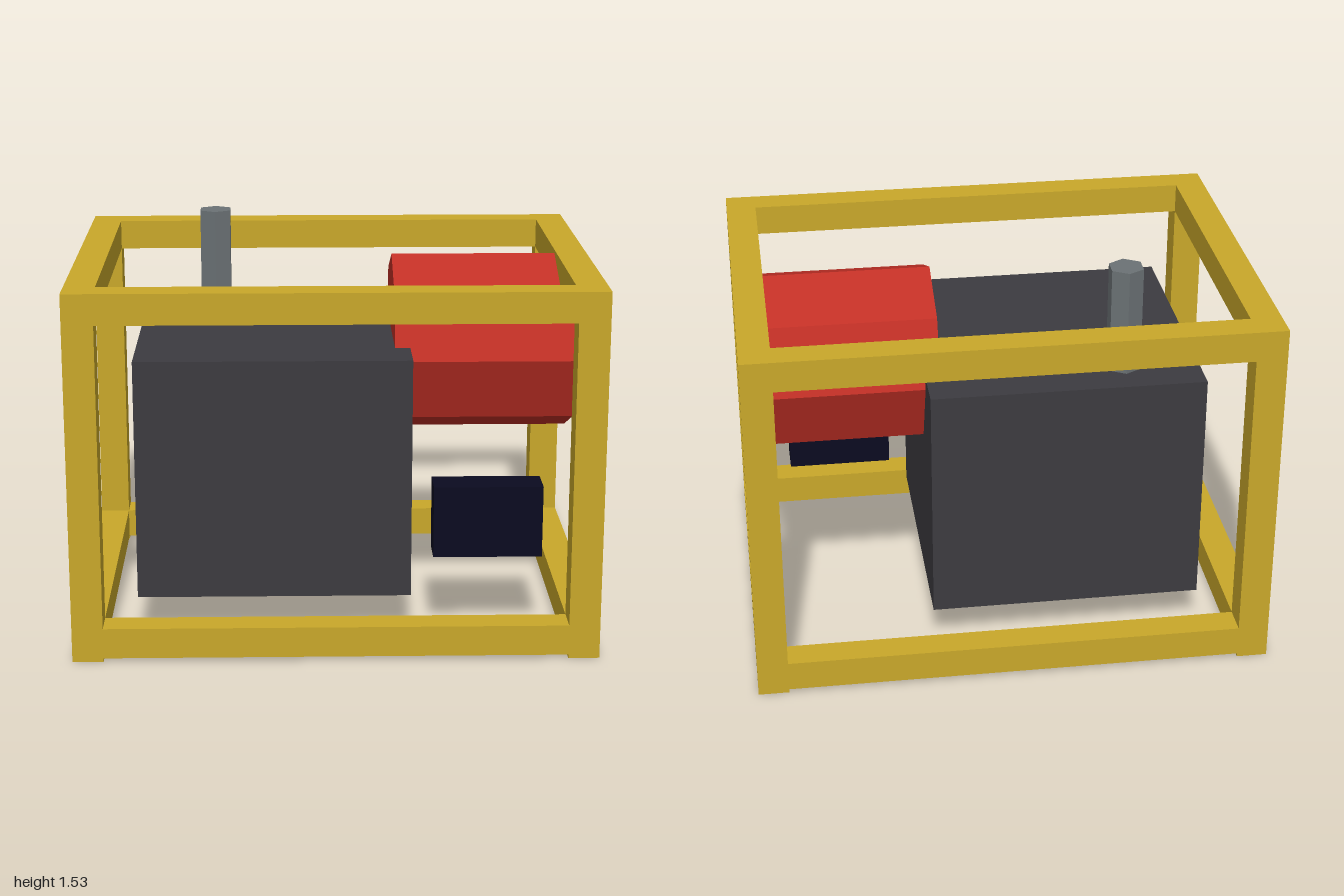
import * as THREE from 'three';

const flat = (name, color) => {
  const m = new THREE.MeshStandardMaterial({ color });
  m.name = name;
  return m;
};

export function createModel() {
  const yellow = flat('frameYellow', 0xc9a82a);
  const charcoal = flat('charcoal', 0x3c3b40);
  const red = flat('red', 0xc23026);
  const steel = flat('steelGrey', 0x6b7275);
  const navy = flat('navy', 0x0b0b20);

  const model = new THREE.Group();
  model.name = 'framedGenerator';

  const add = (parent, name, geometry, material, x, y, z) => {
    const mesh = new THREE.Mesh(geometry, material);
    mesh.name = name;
    mesh.position.set(x, y, z);
    parent.add(mesh);
    return mesh;
  };
  const box = (parent, name, w, h, d, material, x, y, z) =>
    add(parent, name, new THREE.BoxGeometry(w, h, d), material, x, y, z);
  // Faceted cylinder with hard edges
  const prism = (r, length, sides) => {
    const g = new THREE.CylinderGeometry(r, r, length, sides).toNonIndexed();
    g.computeVertexNormals();
    return g;
  };

  // Protective frame: four posts joined by rails, the lower rails just off the ground
  const frame = new THREE.Group();
  frame.name = 'frame';
  model.add(frame);
  const t = 0.118, W = 2, D = 1.53, H = 1.425;
  const px = (W - t) / 2, pz = (D - t) / 2;
  for (const sx of [-1, 1])
    for (const sz of [-1, 1])
      box(frame, 'post', t, H, t, yellow, sx * px, H / 2, sz * pz);
  for (const y of [0.014 + t / 2, H - t / 2])
    for (const s of [-1, 1]) {
      box(frame, 'longRail', W - 2 * t, t, t, yellow, 0, y, s * pz);
      box(frame, 'sideRail', t, t, D - 2 * t, yellow, s * px, y, 0);
    }

  // Engine block
  box(model, 'engineBlock', 1.058, 0.94, 1.058, charcoal, -0.235, 0.64, 0);

  // Octagonal tank lying along x
  add(model, 'tank', prism(0.353, 0.706, 8), red, 0.588, 1.059, 0).rotation.z = Math.PI / 2;

  // Hexagonal exhaust pipe rising from the block
  add(model, 'exhaustPipe', prism(0.07, 0.588, 6), steel, -0.471, 1.235, -0.353);

  // Control panel
  box(model, 'controlPanel', 0.42, 0.282, 0.141, navy, 0.588, 0.471, 0.471);

  return model;
}
